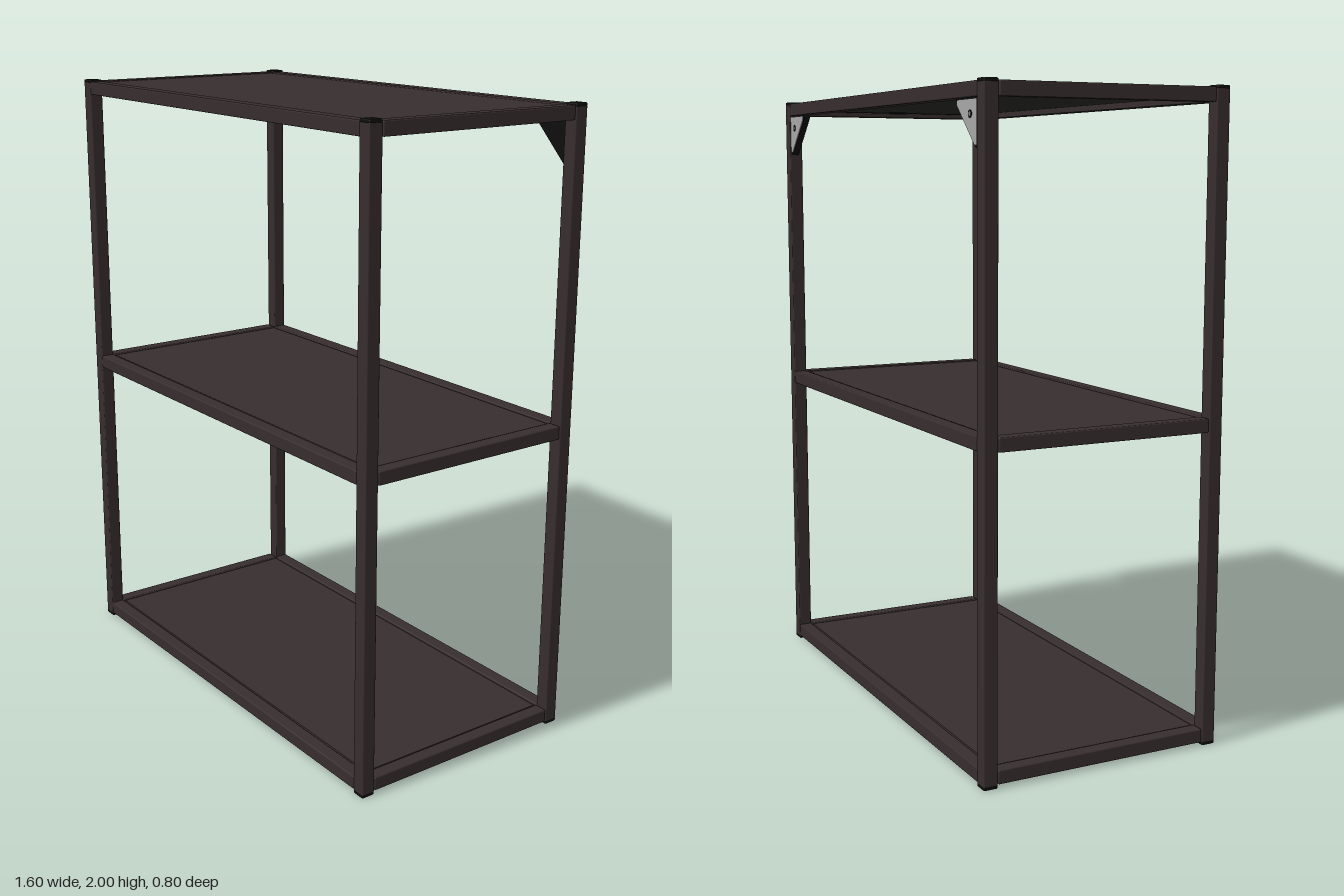
import * as THREE from 'three';
import { RoundedBoxGeometry } from 'three/addons/geometries/RoundedBoxGeometry.js';

const mat = (name, color) => {
  const m = new THREE.MeshStandardMaterial({ color });
  m.name = name;
  return m;
};

export function createModel() {
  const brown = mat('dark brown', 0x372d2e);
  const black = mat('black', 0x0d0d0d);
  const under = mat('charcoal underside', 0x272623);
  const grey = mat('grey', 0xa6a6a6);

  const model = new THREE.Group();
  model.name = 'shelvingUnit';

  const add = (parent, name, geometry, material, x = 0, y = 0, z = 0) => {
    const mesh = new THREE.Mesh(geometry, material);
    mesh.name = name;
    mesh.position.set(x, y, z);
    parent.add(mesh);
    return mesh;
  };
  const box = (w, h, d) => new THREE.BoxGeometry(w, h, d);
  const bar = (w, h, d) => new RoundedBoxGeometry(w, h, d, 2, 0.004);

  const X = 0.777, Z = 0.377, T = 0.045; // post centres and bar thickness

  // Corner posts with end caps and feet
  for (const sx of [-1, 1]) for (const sz of [-1, 1]) {
    add(model, 'post', bar(T, 1.984, T), brown, sx * X, 1, sz * Z);
    add(model, 'postCap', bar(T, 0.012, T), black, sx * X, 1.994, sz * Z);
    add(model, 'foot', bar(T, 0.012, T), black, sx * X, 0.006, sz * Z);
  }

  // Three shelves: rails, panel and fittings, measured from the rail centre
  for (const y of [0.033, 1.003, 1.973]) {
    const shelf = new THREE.Group();
    shelf.name = 'shelf';
    shelf.position.y = y;
    model.add(shelf);
    for (const s of [-1, 1]) {
      add(shelf, 'longRail', bar(1.512, 0.043, 0.045), brown, 0, 0, s * Z);
      add(shelf, 'sideRail', bar(0.045, 0.043, 0.704), brown, s * X, 0, 0);
      add(shelf, 'panelSeal', box(0.01, 0.02, 0.66), black, s * 0.751, 0.004, 0);
      add(shelf, 'panelClip', box(0.03, 0.006, 0.06), black, s * 0.7, -0.007, 0);
      for (const sz of [-1, 1]) {
        add(shelf, 'railConnector', box(0.03, 0.03, 0.02), black, s * X, 0, sz * 0.354);
      }
    }
    add(shelf, 'panel', box(1.498, 0.018, 0.694), brown, 0, 0.009, 0);
    add(shelf, 'panelUnderside', box(1.494, 0.004, 0.69), under, 0, -0.002, 0);
  }

  // Rounded corner triangle: its right angle is at the origin, legs run along -x and -y
  const triangle = (inset) => {
    const a = inset, e = 0.138 - inset * 1.6, r = 0.014;
    const s = new THREE.Shape();
    s.moveTo(-a, -a);
    s.lineTo(-a, -e + r * 0.6);
    s.quadraticCurveTo(-a, -e, -a - r * 0.7, -e);
    s.quadraticCurveTo(-a - r, -e, -a - r * 1.5, -e + r * 0.5);
    s.lineTo(-e + r * 0.5, -a - r * 1.5);
    s.quadraticCurveTo(-e, -a - r, -e, -a - r * 0.7);
    s.quadraticCurveTo(-e, -a, -e + r * 0.6, -a);
    s.closePath();
    return s;
  };
  const plate = (inset, depth) => new THREE.ExtrudeGeometry(triangle(inset),
    { depth, bevelEnabled: false, curveSegments: 6 });

  // Wall brackets under the top back rail; the left one turns to mirror the right
  for (const s of [-1, 1]) {
    const bracket = new THREE.Group();
    bracket.name = 'wallBracket';
    bracket.position.set(s * 0.757, 1.952, -0.384);
    if (s < 0) bracket.rotation.y = Math.PI;
    model.add(bracket);
    const body = add(bracket, 'bracketBody', plate(0, 0.022), black, 0, 0, -0.011);
    body.name = 'bracketBody';
    const back = -s; // side of the plate that faces the wall
    add(bracket, 'bracketPlate', plate(0.005, 0.003), grey, 0, 0, back > 0 ? 0.0105 : -0.0135);
    const disc = (r) => new THREE.CylinderGeometry(r, r, 0.003, 20).rotateX(Math.PI / 2);
    add(bracket, 'screwRing', disc(0.011), black, -0.045, -0.045, back * 0.0135);
    add(bracket, 'screwHead', disc(0.006), grey, -0.045, -0.045, back * 0.0145);
  }
  return model;
}
